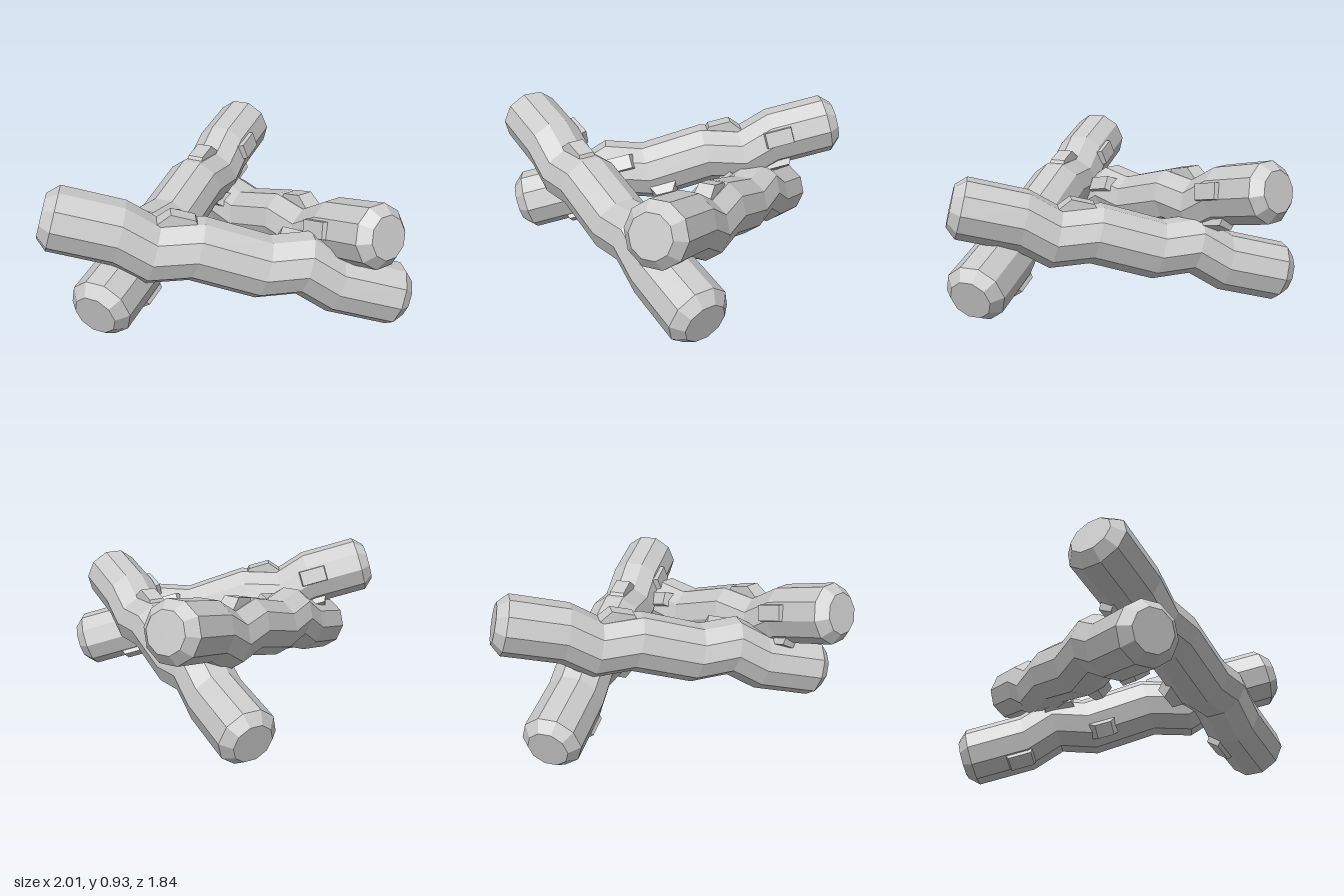
import * as THREE from 'three';

const material = new THREE.MeshStandardMaterial({ color: 0xcccccc, flatShading: true });
const R = 0.177, CAP = 0.12;

// [position along the log, radius, sideways bend]
const STATIONS = [
  [-1.015, 0, 0], [-1.015, CAP, 0], [-0.955, R, 0], [-0.61, R, 0],
  [-0.41, R, -0.062], [-0.19, R, 0.01], [0.19, R, -0.01], [0.4, R, 0.065],
  [0.6, R, 0], [0.955, R, 0], [1.015, CAP, 0], [1.015, 0, 0],
];

// Bend of the log's centre line at u
function bendAt(u) {
  for (let i = 1; i < STATIONS.length; i++) {
    const [a, , p] = STATIONS[i - 1], [b, , q] = STATIONS[i];
    if (u <= b && b > a) return p + (q - p) * (u - a) / (b - a);
  }
  return 0;
}

// Ten-sided trunk with chamfered ends, lying along x and bent up and down
function trunkGeometry() {
  const geo = new THREE.LatheGeometry(STATIONS.map(([u, r]) => new THREE.Vector2(r, u)), 10);
  geo.rotateZ(-Math.PI / 2);
  const pos = geo.attributes.position;
  for (let i = 0; i < pos.count; i++) {
    pos.setY(i, pos.getY(i) + STATIONS[i % STATIONS.length][2]);
  }
  return geo;
}

// Cut branch stub: a box that narrows outwards from the trunk
function stubGeometry(length, width, reach, taper) {
  const depth = 0.1;
  const geo = new THREE.BoxGeometry(length, depth, width);
  geo.translate(0, reach - depth / 2, 0);
  const pos = geo.attributes.position;
  for (let i = 0; i < pos.count; i++) {
    if (pos.getY(i) > reach - 0.01) {
      pos.setX(i, pos.getX(i) * taper);
      pos.setZ(i, pos.getZ(i) * 0.85);
    }
  }
  return geo;
}

// u along the log, angle from the top towards the inner side, size
const STUBS = [
  { u: -0.31, angle: 0, length: 0.3, width: 0.11, reach: 0.212, taper: 0.45 },
  { u: -0.64, angle: 75, length: 0.2, width: 0.11, reach: 0.195, taper: 0.8 },
  { u: 0.35, angle: 60, length: 0.22, width: 0.1, reach: 0.195, taper: 0.75 },
  { u: 0.12, angle: 125, length: 0.2, width: 0.1, reach: 0.225, taper: 0.5 },
  { u: 0.66, angle: 145, length: 0.22, width: 0.11, reach: 0.195, taper: 0.65 },
  { u: -0.6, angle: 150, length: 0.22, width: 0.11, reach: 0.2, taper: 0.65 },
];

function createLog(name) {
  const log = new THREE.Group();
  log.name = name;
  const trunk = new THREE.Mesh(trunkGeometry(), material);
  trunk.name = 'trunk';
  log.add(trunk);
  for (const s of STUBS) {
    const stub = new THREE.Mesh(stubGeometry(s.length, s.width, s.reach, s.taper), material);
    stub.name = 'branchStub';
    stub.position.set(s.u, bendAt(s.u), 0);
    stub.rotation.x = -THREE.MathUtils.degToRad(s.angle);
    log.add(stub);
  }
  return log;
}

export function createModel() {
  const model = new THREE.Group();
  model.name = 'logPile';
  // Three tilted logs, each resting on the next around a triangle
  const logs = [
    { name: 'frontLog', turn: 0, tilt: 16.4, at: [0, 0.48, 0.635] },
    { name: 'leftLog', turn: 120, tilt: 15, at: [0.31, 0.395, -0.018] },
    { name: 'rightLog', turn: 240, tilt: 13.4, at: [-0.227, 0.512, -0.021] },
  ];
  for (const { name, turn, tilt, at } of logs) {
    const log = createLog(name);
    log.rotation.order = 'YXZ';
    log.rotation.y = THREE.MathUtils.degToRad(turn);
    log.rotation.z = -THREE.MathUtils.degToRad(tilt);
    log.position.set(...at);
    model.add(log);
  }
  return model;
}
